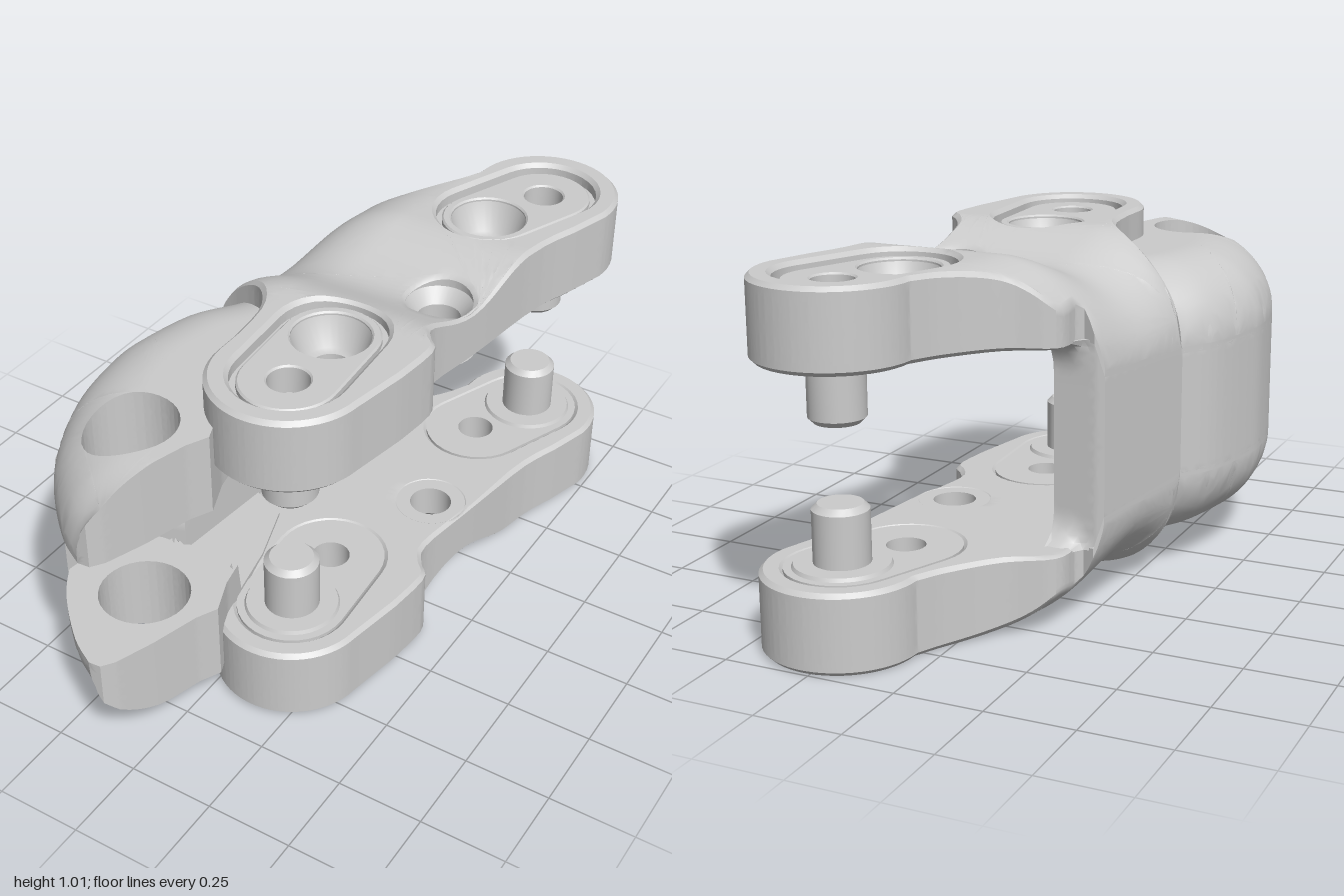
import * as THREE from 'three';
import { toCreasedNormals } from 'three/addons/utils/BufferGeometryUtils.js';

const HEIGHT = 1.015, MID = HEIGHT / 2;
const grey = new THREE.MeshStandardMaterial({ color: 0xcccccc });
const greyOpen = new THREE.MeshStandardMaterial({ color: 0xcccccc, side: THREE.DoubleSide });

// Plan helpers: points are (x, z)
const pts = (...list) => list.map(([x, z]) => new THREE.Vector2(x, z));
const spline = (n, ...list) => new THREE.SplineCurve(pts(...list)).getPoints(n);
function arc(cx, cz, r, a0, a1, n = 28) {
  return Array.from({ length: n + 1 }, (_, i) => {
    const a = a0 + (a1 - a0) * i / n;
    return new THREE.Vector2(cx + r * Math.cos(a), cz + r * Math.sin(a));
  });
}
const circle = (cx, cz, r) => arc(cx, cz, r, 0, Math.PI * 2 * 31 / 32, 31);
function stadium([ax, az], [bx, bz], r) {
  const a = Math.atan2(bz - az, bx - ax), q = Math.PI / 2;
  return [...arc(bx, bz, r, a - q, a + q, 16), ...arc(ax, az, r, a + q, a + 3 * q, 16)];
}
function distanceTo(line, x, z) {
  let best = Infinity;
  for (let i = 1; i < line.length; i++) {
    const a = line[i - 1], b = line[i], dx = b.x - a.x, dz = b.y - a.y;
    const t = THREE.MathUtils.clamp(((x - a.x) * dx + (z - a.y) * dz) / (dx * dx + dz * dz), 0, 1);
    best = Math.min(best, Math.hypot(x - a.x - t * dx, z - a.y - t * dz));
  }
  return best;
}
const dome = (d, r) => Math.sqrt(Math.max(0, 1 - Math.max(0, 1 - d / r) ** 2));

// Extrude a plan upward, split long edges, then bend by a rule (x, t, z) -> [x, y, z]
function solid(outline, holes, depth, bevel, maxEdge, rule) {
  const shape = new THREE.Shape(outline);
  shape.holes = holes.map(h => new THREE.Path(h));
  const raw = new THREE.ExtrudeGeometry(shape, {
    depth, bevelEnabled: bevel > 0, bevelThickness: bevel, bevelSize: bevel, bevelOffset: -bevel, bevelSegments: 1,
  });
  const pos = raw.attributes.position, out = [];
  const put = v => out.push(...rule(v.x, (v.z + bevel) / (depth + 2 * bevel), v.y));
  function split(a, b, c) {
    const e = [a.distanceTo(b), b.distanceTo(c), c.distanceTo(a)], m = Math.max(...e);
    if (m <= maxEdge) { put(a); put(c); put(b); return; }
    while (e[0] < m) { [a, b, c] = [b, c, a]; e.push(e.shift()); }
    const h = a.clone().add(b).multiplyScalar(0.5);
    split(a, h, c);
    split(h, b, c);
  }
  for (let i = 0; i < pos.count; i += 3) {
    split(...[0, 1, 2].map(k => new THREE.Vector3().fromBufferAttribute(pos, i + k)));
  }
  const geo = new THREE.BufferGeometry();
  geo.setAttribute('position', new THREE.Float32BufferAttribute(out, 3));
  return toCreasedNormals(geo, 0.6);
}
const slab = (outline, holes, y0, y1, bevel = 0) =>
  solid(outline, holes, y1 - y0 - 2 * bevel, bevel, 9, (x, t, z) => [x, y0 + (y1 - y0) * t, z]);

// Mirror a geometry from the upper to the lower jaw
function flipped(geo) {
  const g = geo.index ? geo.toNonIndexed() : geo.clone();
  for (const [key, offset] of [['position', HEIGHT], ['normal', 0]]) {
    const at = g.attributes[key];
    for (let i = 0; i < at.count; i += 3) {
      const v = [0, 1, 2].map(k => new THREE.Vector3().fromBufferAttribute(at, i + k));
      [v[0], v[2], v[1]].forEach((p, k) => at.setXYZ(i + k, p.x, offset - p.y, p.z));
    }
  }
  return g;
}

export function createModel() {
  const model = new THREE.Group();
  const upper = new THREE.Group(), lower = new THREE.Group();
  upper.name = 'upperJaw';
  lower.name = 'lowerJaw';
  model.add(upper, lower);
  function add(name, geo, material = grey) {
    for (const [group, g] of [[upper, geo], [lower, flipped(geo)]]) {
      const mesh = new THREE.Mesh(g, material);
      mesh.name = name;
      group.add(mesh);
    }
  }

  // Pads: each has a through hole and a pin hole
  const pads = [
    { bolt: [0.125, 0.19], pin: [0.14, 0.42], r: 0.155 },
    { bolt: [0.19, -0.58], pin: [0.27, -0.78], r: 0.155 },
  ];
  const middleHole = [0.25, -0.18];

  // Jaw plate: saddle between the pads, rolling down to the wall on the right
  const plateOutline = [
    ...pts([-0.38, 0], [-0.31, -0.385], [-0.285, -0.4], [-0.25, -0.385]),
    ...spline(16, [-0.235, -0.41], [-0.22, -0.5], [-0.1, -0.57], [0, -0.69], [0.045, -0.77]),
    ...arc(0.27, -0.78, 0.22, Math.PI, Math.PI * 2 + 0.15),
    ...spline(20, [0.45, -0.62], [0.405, -0.48], [0.365, -0.2], [0.335, 0], [0.36, 0.07], [0.4, 0.125], [0.39, 0.27]),
    ...arc(0.14, 0.42, 0.22, 0.1, Math.PI),
    ...spline(14, [-0.08, 0.34], [-0.1, 0.19], [-0.17, 0.09], [-0.28, 0.035], [-0.35, 0.012]),
  ];
  const plateTop = (x, z) => {
    const s = (z + 0.17) / 0.27;
    const top = HEIGHT - (Math.abs(s) < 1 ? 0.075 * Math.cos(s * Math.PI / 2) ** 2 : 0);
    const left = -0.38 - 0.18 * Math.min(z, 0);
    return 0.7 + (top - 0.7) * dome(x - left, 0.3);
  };
  const plateHoles = [...pads.map(p => stadium(p.bolt, p.pin, p.r)), circle(...middleHole, 0.095)];
  add('jawPlate', solid(plateOutline, plateHoles, 0.2, 0.012, 0.035, (x, t, z) => {
    const top = plateTop(x, z), bottom = Math.min(0.79, top - 0.02);
    return [x, bottom + (top - bottom) * t, z];
  }));

  // Side wall joining the jaws, flaring into the plate at its back edge
  const wallOutline = pts([-0.38, 0.01], [-0.31, -0.385], [-0.285, -0.39], [-0.16, -0.38], [-0.21, 0.06]);
  add('sideWall', solid(wallOutline, [], 0.3, 0, 0.04, (x, t, z) => {
    const y = MID + (Math.min(0.8, plateTop(x, z) - 0.01) - MID) * t;
    const f = THREE.MathUtils.clamp((y - 0.7) / 0.1, 0, 1);
    const flare = 0.08 * (1 - Math.sqrt(1 - f * f)) * THREE.MathUtils.smoothstep(x, -0.27, -0.2);
    return [x, y, z < -0.3 ? z - flare : z];
  }));

  // Front claw: domed, with a round hole through it
  const clawSide = spline(40, [-0.36, 0], [-0.44, 0.12], [-0.485, 0.3], [-0.49, 0.42], [-0.455, 0.6],
    [-0.36, 0.79], [-0.22, 0.935], [-0.12, 0.998]);
  const clawOutline = [...clawSide, ...pts([-0.085, 0.995], [-0.06, 0.96], [-0.02, 0.85], [0.02, 0.71],
    [0.05, 0.65], [0.01, 0.55], [-0.04, 0.3], [-0.1, 0.12])];
  const clawTop = (x, z) => 0.7 + 0.22 * dome(distanceTo(clawSide, x, z), 0.24);
  add('claw', solid(clawOutline, [circle(-0.16, 0.7, 0.128)], 0.24, 0, 0.03, (x, t, z) => {
    const top = clawTop(x, z), bottom = Math.min(z > 0.47 ? 0.68 : 0.78, top - 0.02);
    return [x, bottom + (top - bottom) * t, z];
  }));

  // Claw wall: thick behind, stepping down through a curved shoulder to a thin front
  const clawWall = [...clawSide.filter(p => p.y < 0.73), ...pts([-0.395, 0.74], [-0.355, 0.44], [-0.24, 0.4], [-0.2, 0])];
  add('clawWall', solid(clawWall, [], 0.26, 0, 0.04, (x, t, z) => {
    const y = MID + (Math.min(0.785, clawTop(x, z) - 0.01) - MID) * t;
    const inShoulder = x > -0.36 && z > 0.39 && z < 0.45;
    const bulge = inShoulder ? 0.05 * Math.max(0, 1 - ((y - MID) / 0.17) ** 2) : 0;
    return [x, y, z - bulge];
  }));

  // Pad inserts, countersinks and pins
  for (const { bolt, pin, r } of pads) {
    const edge = stadium(bolt, pin, r + 0.002);
    add('padFloor', slab(stadium(bolt, pin, r - 0.018), [circle(...bolt, 0.11), circle(...pin, 0.058)], 0.89, 0.995, 0.005));
    add('padGroove', slab(edge, [circle(...bolt, 0.11), circle(...pin, 0.058)], 0.89, 0.975));
    add('padBase', slab(edge, [circle(...bolt, 0.055)], 0.79, 0.895));
    const seat = new THREE.LatheGeometry(pts([0.11, 0.985], [0.078, 0.9], [0.055, 0.895]), 32);
    add('countersink', seat.translate(bolt[0], 0, bolt[1]), greyOpen);
    const dimple = new THREE.LatheGeometry(pts([0.058, 0.91], [0, 0.88]), 24);
    add('dimple', dimple.translate(pin[0], 0, pin[1]), greyOpen);
    const collar = new THREE.CylinderGeometry(0.14, 0.13, 0.02, 40);
    add('pinCollar', collar.translate(pin[0], 0.79, pin[1]));
    const peg = toCreasedNormals(new THREE.LatheGeometry(
      pts([0, 0.617], [0.062, 0.617], [0.078, 0.633], [0.078, 0.8]), 36), 0.5);
    add('pin', peg.translate(pin[0], 0, pin[1]), greyOpen);
  }

  // Countersunk hole in the saddle
  const ring = toCreasedNormals(new THREE.LatheGeometry(
    pts([0.11, 0.792], [0.062, 0.792], [0.062, 0.89], [0.098, 0.935]), 32), 0.4);
  add('middleCountersink', ring.translate(middleHole[0], 0, middleHole[1]), greyOpen);

  return model;
}
